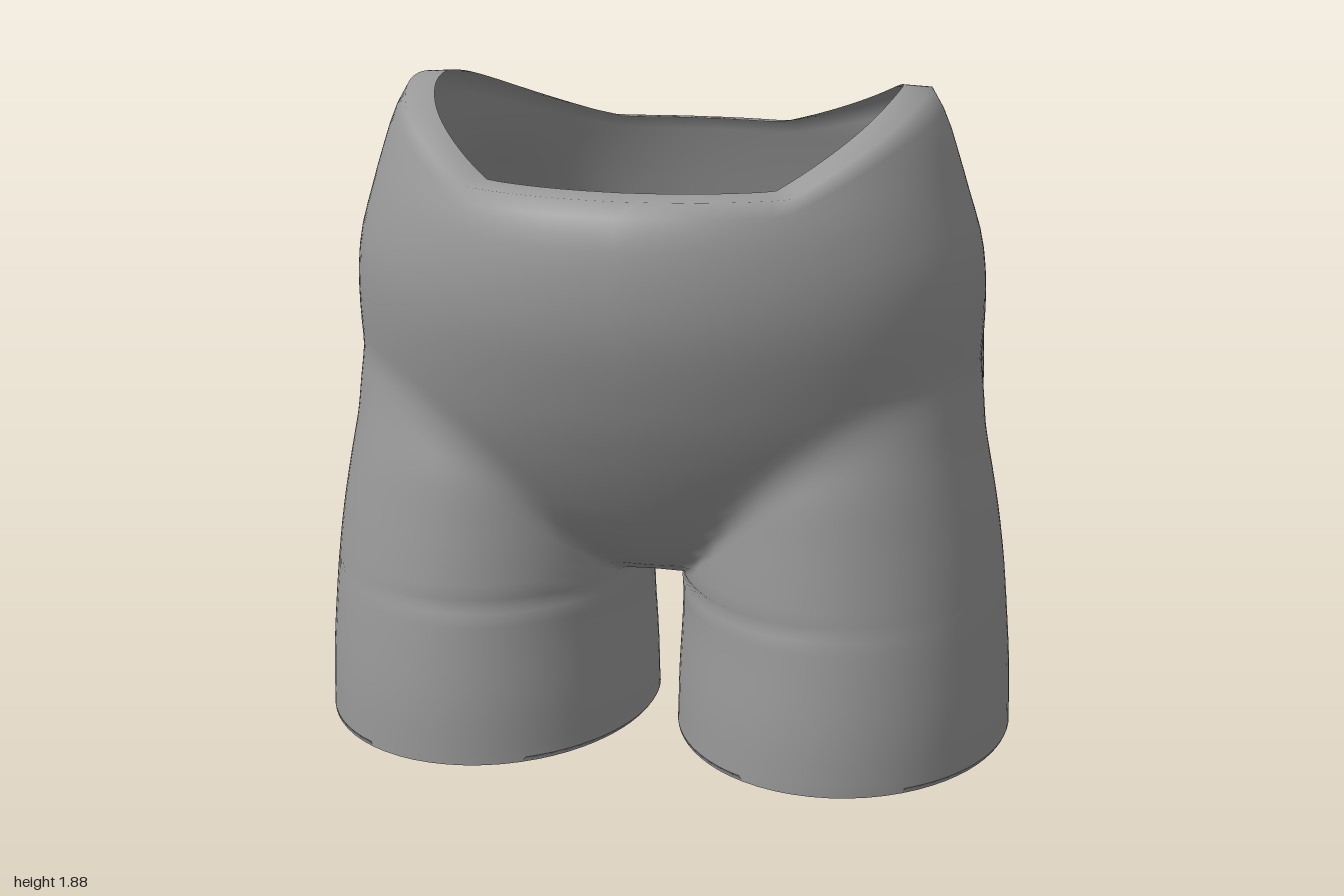
import * as THREE from 'three';
import { mergeVertices } from 'three/addons/utils/BufferGeometryUtils.js';

const AXIS = 0.51;      // x of the axis each half is swept around
const STEP = 0.04;      // height between cross-sections
const ROWS = 42;        // front and back waist height = ROWS * STEP
const CROTCH = 12;      // row where the two legs join
const COLS = 72;
const { clamp, smoothstep } = THREE.MathUtils;

// Cross-section sizes by height
// y, half width, front depth, back depth, back squareness
const TORSO = [
  [0.48, 0.28, 0.10, 0.10, 2], [0.54, 0.40, 0.25, 0.27, 2], [0.62, 0.54, 0.37, 0.43, 2.1],
  [0.72, 0.68, 0.46, 0.55, 2.3], [0.82, 0.79, 0.525, 0.61, 2.5], [0.95, 0.86, 0.595, 0.655, 2.6],
  [1.10, 0.878, 0.66, 0.68, 2.6], [1.30, 0.885, 0.72, 0.675, 2.5], [1.45, 0.872, 0.735, 0.637, 2.3],
  [1.60, 0.83, 0.72, 0.59, 2.1], [1.70, 0.80, 0.68, 0.555, 2], [1.80, 0.765, 0.64, 0.53, 2],
  [1.88, 0.72, 0.61, 0.51, 2],
];
// y, half width, back depth
const BUTTOCK = [
  [0.48, 0.28, 0.40], [0.56, 0.34, 0.56], [0.65, 0.39, 0.645], [0.80, 0.44, 0.715], [0.92, 0.455, 0.735],
  [1.05, 0.455, 0.733], [1.25, 0.43, 0.675], [1.50, 0.36, 0.52], [1.70, 0.25, 0.34], [1.90, 0.20, 0.25],
];
// y, outer x, inner x, front depth, back depth
const LEG = [
  [0.00, 1.00, 0.04, 0.59, 0.55], [0.20, 0.995, 0.045, 0.59, 0.545], [0.40, 0.98, 0.055, 0.575, 0.53],
  [0.55, 0.965, 0.05, 0.56, 0.53], [0.70, 0.943, 0.05, 0.545, 0.53], [0.90, 0.905, 0.06, 0.52, 0.50],
  [1.10, 0.865, 0.10, 0.46, 0.44], [1.40, 0.75, 0.20, 0.30, 0.30], [1.90, 0.60, 0.30, 0.10, 0.10],
];

// Smooth lookup in a size table
function sizes(table, y) {
  const last = table.length - 1;
  const yy = clamp(y, table[0][0], table[last][0]);
  let i = 0;
  while (i < last - 1 && yy > table[i + 1][0]) i++;
  const a = table[i], b = table[i + 1], h = b[0] - a[0], t = (yy - a[0]) / h;
  const slope = (k, c) => {
    const p = table[Math.max(k - 1, 0)], q = table[Math.min(k + 1, last)];
    return ((q[c] - p[c]) / (q[0] - p[0])) * h;
  };
  return a.slice(1).map((v, n) => {
    const c = n + 1, t2 = t * t, t3 = t2 * t;
    return v * (2 * t3 - 3 * t2 + 1) + b[c] * (3 * t2 - 2 * t3)
      + slope(i, c) * (t3 - 2 * t2 + t) + slope(i + 1, c) * (t3 - t2);
  });
}

// Rounded union of two shapes
function blend(a, b, k) {
  const h = Math.max(k - Math.abs(a - b), 0) / k;
  return Math.max(a, b) + h * h * k * 0.25;
}

const oval = (u, v, n) => 1 - Math.pow(Math.pow(Math.abs(u), n) + Math.pow(Math.abs(v), n), 1 / n);

// Returns a test for one height: positive inside the body
function section(y) {
  const [outer, inner, lf, lb] = sizes(LEG, y);
  const [tw, tf, tb, square] = sizes(TORSO, y);
  const [bw, bb] = sizes(BUTTOCK, y);
  const mid = (outer + inner) / 2, half = (outer - inner) / 2;
  const soft = smoothstep(y, CROTCH * STEP, 0.8);
  return (x, z) => {
    const leg = oval((x - mid) / half, z / (z > 0 ? lf : lb), 2);
    if (y < CROTCH * STEP + 0.001) return leg;
    const torso = z > 0 ? oval(x / tw, z / tf, 2) : oval(x / tw, z / tb, square);
    const body = blend(leg, torso, 0.005 + 0.075 * soft);
    if (z >= 0) return body;
    const buttock = oval((x - 0.42) / bw, z / bb, 2.7);
    return blend(body, buttock, 0.002 + 0.1 * soft * smoothstep(-z, 0, 0.35));
  };
}

function edge(inside, max) {
  if (inside(max)) return max;
  let lo = 0, hi = max;
  for (let i = 0; i < 26; i++) {
    const m = (lo + hi) / 2;
    if (inside(m)) lo = m; else hi = m;
  }
  return lo;
}

// Point on the skin at a height and angle, never crossing the middle plane
function skinPoint(test, angle) {
  const c = Math.cos(angle), s = Math.sin(angle);
  const limit = c < -1e-6 ? Math.min(1.5, -AXIS / c) : 1.5;
  const r = edge((t) => test(AXIS + c * t, s * t) > 0, limit);
  const x = AXIS + c * r;
  return [x < 1e-3 ? 0 : x, s * r];
}

// Waist edge rises in an arch over each hip
function waistLift(angle) {
  let lift = 0.1;
  for (let i = 0; i < 8; i++) {
    const z = skinPoint(section(ROWS * STEP + lift), angle)[1];
    const arch = 0.195 * Math.max(0, 1 - (z / (z > 0 ? 0.58 : 0.53)) ** 2);
    lift = (lift + arch) / 2;
  }
  return lift;
}

function halfRows() {
  const rows = [];
  for (let i = 0; i <= ROWS; i++) {
    const level = i * STEP, test = section(level), row = [];
    // above the crotch the sweep stops at the centre line, below it closes into a leg
    const open = i > CROTCH;
    const front = open ? edge((t) => test(0, t) > 0, 1) : 0;
    const back = open ? edge((t) => test(0, -t) > 0, 1) : 0;
    const a0 = -Math.PI + Math.atan2(back, AXIS), a1 = Math.PI - Math.atan2(front, AXIS);
    for (let j = 0; j <= COLS; j++) {
      const angle = a0 + ((a1 - a0) * j) / COLS;
      const end = j === 0 || j === COLS;
      let y = level, local = test;
      if (level > 1.2 && !end) {
        y += (waistLift(angle) * (level - 1.2)) / (ROWS * STEP - 1.2);
        local = section(y);
      }
      let [x, z] = skinPoint(local, angle);
      if (end) {
        z = j ? front : -back;
        if (i >= CROTCH) x = 0;
      }
      if (i === 0) y = 0.04 + 0.025 * z;
      // flat bridge between the legs
      if (i === CROTCH - 1) y += 0.03 * smoothstep(-x, -0.1, -0.05);
      row.push([x, y, z]);
    }
    rows.push(row);
  }
  // rims turned inward at the leg hem and the waist
  const hem = rows[0].map(([x, , z]) => [0.52 + (x - 0.52) * 0.88, 0.014 + 0.028 * z, z * 0.88]);
  const rim = rows[ROWS].map(([x, y, z]) => [x * 0.89, y + 0.006, z * 0.88]);
  return [hem, ...rows, rim];
}

function skinGeometry() {
  const rows = halfRows(), positions = [], index = [];
  const w = COLS + 1;
  for (const side of [1, -1]) {
    const base = positions.length / 3;
    for (const row of rows) for (const [x, y, z] of row) positions.push(x * side, y, z);
    for (let i = 0; i < rows.length - 1; i++) {
      for (let j = 0; j < COLS; j++) {
        const a = base + i * w + j, b = a + 1, c = a + w, d = c + 1;
        if (side > 0) index.push(a, c, b, b, c, d);
        else index.push(a, b, c, b, d, c);
      }
    }
  }
  const geometry = new THREE.BufferGeometry();
  geometry.setAttribute('position', new THREE.Float32BufferAttribute(positions, 3));
  geometry.setIndex(index);
  const merged = mergeVertices(geometry, 1e-4);
  merged.computeVertexNormals();
  return merged;
}

export function createModel() {
  const grey = new THREE.MeshStandardMaterial({ color: 0x999999, side: THREE.DoubleSide });
  grey.name = 'grey';
  const group = new THREE.Group();
  group.name = 'hipForm';
  const skin = new THREE.Mesh(skinGeometry(), grey);
  skin.name = 'hipsAndThighs';
  group.add(skin);
  return group;
}
